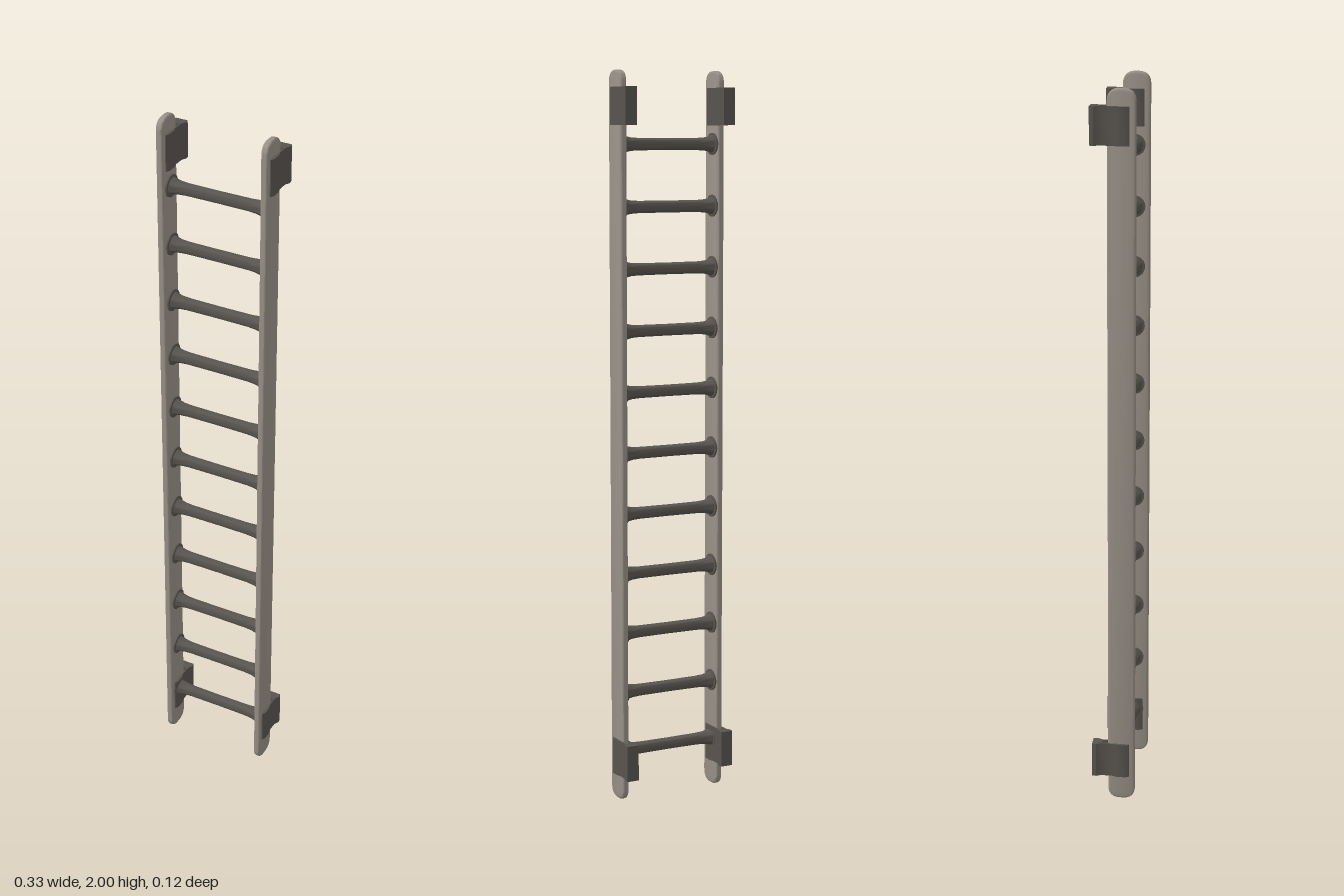
import * as THREE from 'three';
import { toCreasedNormals } from 'three/addons/utils/BufferGeometryUtils.js';

const RAIL_X = 0.147;

// Long flat bar with rounded ends and softened edges
function railGeometry() {
  const b = 0.005, z0 = -0.017 + b, z1 = 0.058 - b, y0 = b, y1 = 2 - b, r = 0.028;
  const s = new THREE.Shape();
  s.moveTo(-z0 - r, y0);
  s.quadraticCurveTo(-z0, y0, -z0, y0 + r);
  s.lineTo(-z0, y1 - r);
  s.quadraticCurveTo(-z0, y1, -z0 - r, y1);
  s.lineTo(-z1 + r, y1);
  s.quadraticCurveTo(-z1, y1, -z1, y1 - r);
  s.lineTo(-z1, y0 + r);
  s.quadraticCurveTo(-z1, y0, -z1 + r, y0);
  s.closePath();
  const g = new THREE.ExtrudeGeometry(s, {
    depth: 0.008, bevelThickness: b, bevelSize: b, bevelSegments: 3, curveSegments: 8,
  });
  g.translate(0, 0, -0.004);
  g.rotateY(Math.PI / 2); // shape x becomes -z
  return toCreasedNormals(g, 0.7);
}

// Round bar flaring into a collar against each rail
function rungGeometry() {
  const half = [[0.016, 0], [0.0165, 0.09], [0.018, 0.112], [0.022, 0.13],
    [0.0235, 0.133], [0.03, 0.134], [0.03, 0.139], [0.02, 0.141]];
  const pts = [
    ...half.slice(1).reverse().map(([r, x]) => new THREE.Vector2(r, -x)),
    ...half.map(([r, x]) => new THREE.Vector2(r, x)),
  ];
  const g = new THREE.LatheGeometry(pts, 20);
  g.rotateZ(-Math.PI / 2);
  return toCreasedNormals(g, 0.8);
}

// Wall clamp: a tapered pad at the back with two jaws gripping the rail
function bracketGeometry() {
  const outer = [[0.017, 0.061], [0.019, 0.05], [0.012, 0.036], [0.012, 0.006],
    [0.0165, -0.008], [0.0165, -0.032], [0.012, -0.042]];
  const inner = [[0.008, -0.042], [0.008, 0.034]];
  const side = [...outer, ...inner];
  const pts = [...side, ...side.slice().reverse().map(([x, y]) => [-x, y])];
  const s = new THREE.Shape(pts.map(([x, y]) => new THREE.Vector2(x, y)));
  const g = new THREE.ExtrudeGeometry(s, { depth: 0.1, bevelEnabled: false });
  g.translate(0, 0, -0.05);
  g.rotateX(-Math.PI / 2); // shape y becomes -z
  return toCreasedNormals(g, 0.5);
}

export function createModel() {
  const model = new THREE.Group();
  model.name = 'ladder';
  const railMetal = new THREE.MeshStandardMaterial({ color: 0x989087 });
  railMetal.name = 'pale grey metal';
  const darkMetal = new THREE.MeshStandardMaterial({ color: 0x58544f });
  darkMetal.name = 'dark grey metal';

  const add = (name, geometry, material, x, y, z) => {
    const mesh = new THREE.Mesh(geometry, material);
    mesh.name = name;
    mesh.position.set(x, y, z);
    model.add(mesh);
  };

  // Rails and their upper and lower clamps
  const rail = railGeometry(), bracket = bracketGeometry();
  for (const [side, sx] of [['left', 1], ['right', -1]]) {
    add(`${side}Rail`, rail, railMetal, sx * RAIL_X, 0, 0);
    add(`${side}LowerBracket`, bracket, darkMetal, sx * RAIL_X, 0.12, 0);
    add(`${side}UpperBracket`, bracket, darkMetal, sx * RAIL_X, 1.905, 0);
  }

  // Eleven evenly spaced rungs
  const rung = rungGeometry();
  for (let i = 0; i < 11; i++) {
    add(`rung${i + 1}`, rung, darkMetal, 0, 0.137 + i * 0.1668, 0.015);
  }
  return model;
}
